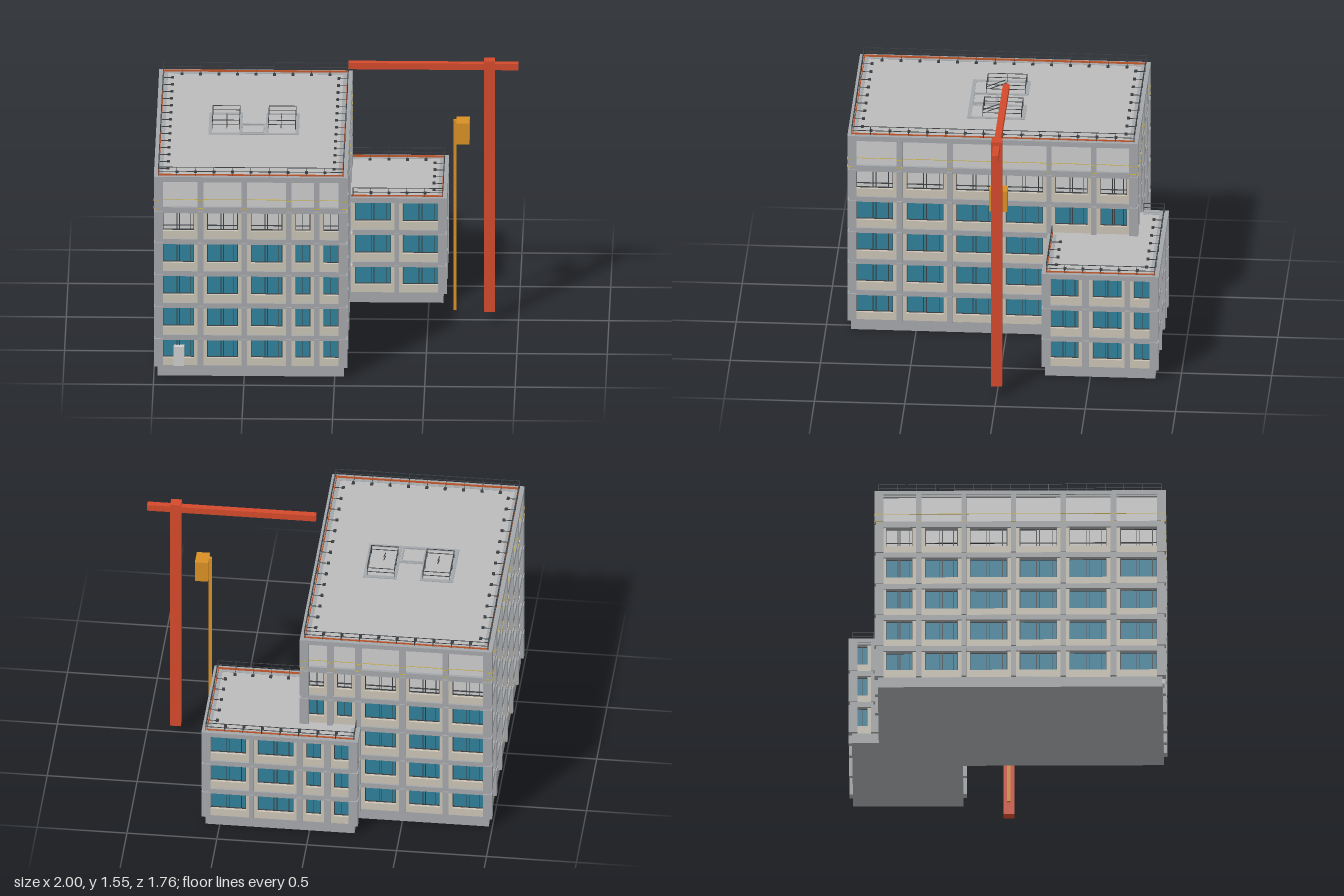
import * as THREE from 'three';
import { mergeGeometries } from 'three/addons/utils/BufferGeometryUtils.js';

const mat = (color) => new THREE.MeshStandardMaterial({ color });
const M = {
  panel: mat(0xcccccc), frame: mat(0xa3a6a9), roof: mat(0xbababa), sill: mat(0xc9c2b4),
  glass: mat(0x2f8099), dark: mat(0x3c4043), toe: mat(0xc4582c), yellow: mat(0xc9ad3a),
  crane: mat(0xd2492b), hoist: mat(0xd98f24),
};

// Each box is [x0, x1, y0, y1, z0, z1]; all boxes of one part become one mesh.
function boxes(name, material, list) {
  const geos = list.map(([x0, x1, y0, y1, z0, z1]) =>
    new THREE.BoxGeometry(x1 - x0, y1 - y0, z1 - z0)
      .translate((x0 + x1) / 2, (y0 + y1) / 2, (z0 + z1) / 2));
  const mesh = new THREE.Mesh(mergeGeometries(geos), material);
  mesh.name = name;
  return mesh;
}

// Openings per storey: [bottom, top]
const STOREYS = [[0.06, 0.215], [0.245, 0.405], [0.435, 0.595], [0.625, 0.785], [0.815, 0.97], [1.005, 1.155]];

// Facade in local space: u along x, outward along +z, outer face at z = 0.
// Bays are [u0, u1, lowest storey]; u0/u1 of the wall are its ends.
function facade(name, ends, bays, storeys) {
  const g = new THREE.Group();
  g.name = name;
  const columns = [], bands = [], sills = [], panels = [], glass = [], frames = [], rails = [];
  const low = Math.min(...bays.map((b) => b[2] || 0));
  for (let s = low; s < storeys; s++) {
    const [y0, y1] = STOREYS[s];
    const next = s + 1 < storeys ? STOREYS[s + 1][0] : y1 + 0.03;
    const open = bays.filter((b) => (b[2] || 0) <= s);
    const first = open[0] === bays[0] ? ends[0] : open[0][0] - 0.03;
    const last = open.at(-1) === bays.at(-1) ? ends[1] : open.at(-1)[1] + 0.03;
    bands.push([first + 0.01, last - 0.01, y1, next, -0.05, -0.008]);

    // columns fill everything between the openings
    const edges = [first, ...open.flatMap((b) => [b[0], b[1]]), last];
    for (let i = 0; i < edges.length; i += 2) {
      if (edges[i + 1] - edges[i] < 0.003) continue;
      columns.push([edges[i], edges[i + 1], y0, y1 + 0.01, -0.05, 0]);
      if (s === 5) for (const y of [1.0, 1.045])
        rails.push([edges[i], edges[i + 1], y, y + 0.004, 0, 0.002]);
    }
    for (const [a, b] of open) {
      if (s === 5) { // closed top storey
        panels.push([a, b, y0, y1, -0.05, -0.025]);
        rails.push([a, b, 1.05, 1.0525, -0.012, -0.0095]);
        continue;
      }
      const ya = y0 + 0.045, xa = a + 0.02, xb = b - 0.02;
      sills.push([a, b, y0, ya, -0.05, -0.02],
        [a, xa, ya, y1, -0.05, -0.02], [xb, b, ya, y1, -0.05, -0.02]);
      if (s < 4) glass.push([xa, xb, ya, y1, -0.05, -0.042]);
      else panels.push([xa, xb, ya, y1, -0.055, -0.045]);
      // window frame and mullions
      const t = 0.0035, bar = (x) => frames.push([x - t / 2, x + t / 2, ya, y1, -0.045, -0.036]);
      const w = xb - xa;
      (w > 0.12 ? [0.01, 0.45, 0.53, 0.87, 0.99] : [0.02, 0.5, 0.98]).forEach((f) => bar(xa + w * f));
      for (const y of [ya, y1 - t]) frames.push([xa, xb, y, y + t, -0.045, -0.036]);
      if (s === 4) frames.push([xa, xb, ya + 0.025, ya + 0.028, -0.045, -0.036]);
    }
  }
  const add = (n, m, l) => l.length && g.add(boxes(n, m, l));
  add('columns', M.frame, columns);
  add('floorBands', M.frame, bands);
  add('sillWalls', M.sill, sills);
  add('wallPanels', M.panel, panels);
  add('windowGlass', M.glass, glass);
  add('windowFrames', M.dark, frames);
  add('safetyBars', M.yellow, rails);
  return g;
}

// Places a facade on one side; bays and ends are given in world x or z.
function side(name, dir, at, ends, bays, storeys) {
  const flip = dir === 'right' || dir === 'back';
  const map = (b) => (flip ? [-b[1], -b[0], b[2]] : b);
  const list = bays.map(map).sort((p, q) => p[0] - q[0]);
  const g = facade(name, map(ends), list, storeys);
  g.rotation.y = { front: 0, right: Math.PI / 2, back: Math.PI, left: -Math.PI / 2 }[dir];
  g.position[dir === 'front' || dir === 'back' ? 'z' : 'x'] = at;
  return g;
}

// Straight roof guard rail with posts, feet pointing inwards and counterweights.
function guardRail(name, y, [x0, z0], [x1, z1], [ix, iz], feet = true) {
  const g = new THREE.Group();
  g.name = name;
  const t = 0.0015, bars = [], weights = [];
  const bar = (ax, ay, az, bx, by, bz) => bars.push([Math.min(ax, bx) - t, Math.max(ax, bx) + t,
    ay - t, by + t, Math.min(az, bz) - t, Math.max(az, bz) + t]);
  for (const h of [0.028, 0.053]) bar(x0, y + h, z0, x1, y + h, z1);
  const n = Math.max(1, Math.round(Math.hypot(x1 - x0, z1 - z0) / 0.103));
  for (let i = 0; i <= n; i++) {
    const x = x0 + (x1 - x0) * i / n, z = z0 + (z1 - z0) * i / n;
    bar(x, y, z, x, y + 0.053, z);
    if (!feet || i === 0 || i === n) continue;
    const wx = x + ix * 0.052, wz = z + iz * 0.052;
    bar(x, y + 0.003, z, wx, y + 0.003, wz);
    weights.push([wx - 0.008, wx + 0.008, y, y + 0.01, wz - 0.008, wz + 0.008]);
  }
  g.add(boxes('railBars', M.dark, bars));
  if (weights.length) g.add(boxes('counterweights', M.dark, weights));
  return g;
}

// Thin upright strips along a rectangle
const rim = (x0, x1, z0, z1, y0, y1, w) => [
  [x0, x1, y0, y1, z0, z0 + w], [x0, x1, y0, y1, z1 - w, z1],
  [x0, x0 + w, y0, y1, z0, z1], [x1 - w, x1, y0, y1, z0, z1]];

export function createModel() {
  const model = new THREE.Group();
  model.name = 'buildingUnderConstruction';

  // Plinths, cores and roofs
  model.add(
    boxes('plinth', M.frame, [[-0.98, 0.05, 0, 0.062, -0.712, 0.862], [-0.25, 0.58, 0, 0.06, -0.86, -0.25]]),
    boxes('core', M.panel, [[-0.95, 0.02, 0.06, 1.16, -0.68, 0.83], [-0.22, 0.55, 0.06, 0.6, -0.83, -0.28]]),
    boxes('roofSlabs', M.roof, [[-0.98, 0.05, 1.155, 1.183, -0.71, 0.86], [-0.25, 0.58, 0.595, 0.623, -0.86, -0.25]]),
    boxes('roofEdge', M.frame, [...rim(-1, 0.07, -0.73, 0.88, 1.165, 1.188, 0.025),
      [-0.27, 0.6, 0.605, 0.628, -0.88, -0.855], [0.575, 0.6, 0.605, 0.628, -0.88, -0.23],
      [0.06, 0.6, 0.605, 0.628, -0.255, -0.23], [-0.27, -0.245, 0.605, 0.628, -0.88, -0.73]]),
    boxes('toeBoards', M.toe, [...rim(-0.975, 0.045, -0.705, 0.855, 1.183, 1.196, 0.004),
      [-0.245, 0.575, 0.623, 0.636, -0.855, -0.851], [0.571, 0.575, 0.623, 0.636, -0.855, -0.255],
      [0.07, 0.575, 0.623, 0.636, -0.259, -0.255]]));

  // Facades on a shared bay grid
  const xBays = [[-0.97, -0.757], [-0.725, -0.516], [-0.484, -0.27], [-0.238, -0.115], [-0.083, 0.04]];
  const zBays = [[0.607, 0.853], [0.327, 0.573], [0.052, 0.299], [-0.223, 0.024], [-0.47, -0.25], [-0.687, -0.5]];
  const above = (bays, from) => bays.map((b, i) => (i >= from ? [...b, 3] : b));
  const annexX = [[0.335, 0.575], [0.07, 0.31]];
  model.add(
    side('frontFacade', 'front', 0.88, [-1, 0.07], xBays, 6),
    side('backFacade', 'back', -0.73, [-1, 0.07], above(xBays, 3), 6),
    side('leftHandFacade', 'right', 0.07, [-0.73, 0.88], above(zBays, 4), 6),
    side('rightHandFacade', 'left', -1, [-0.73, 0.88], zBays, 6),
    side('annexFrontFacade', 'front', -0.23, [0.068, 0.6], annexX, 3),
    side('annexBackFacade', 'back', -0.88, [-0.27, 0.6], [...annexX, ...xBays.slice(3)], 3),
    side('annexLeftFacade', 'right', 0.6, [-0.88, -0.23], [[-0.455, -0.256], [-0.692, -0.493], [-0.853, -0.72]], 3),
    side('annexRightFacade', 'left', -0.27, [-0.88, -0.73], [[-0.853, -0.755]], 3),
    boxes('door', M.panel, [[-0.89, -0.832, 0.06, 0.175, 0.83, 0.872]]));

  // Roof guard rails
  const Y = 1.185, A = 0.625;
  model.add(
    guardRail('frontRail', Y, [-0.975, 0.857], [0.047, 0.857], [0, -1]),
    guardRail('backRail', Y, [-0.975, -0.707], [0.047, -0.707], [0, 1]),
    guardRail('leftRail', Y, [0.047, -0.707], [0.047, 0.857], [-1, 0]),
    guardRail('rightRail', Y, [-0.975, -0.707], [-0.975, 0.857], [1, 0]),
    guardRail('annexFrontRail', A, [0.08, -0.255], [0.577, -0.255], [0, -1]),
    guardRail('annexBackRail', A, [-0.247, -0.857], [0.577, -0.857], [0, 1]),
    guardRail('annexLeftRail', A, [0.577, -0.857], [0.577, -0.255], [-1, 0]),
    guardRail('annexRightRail', A, [-0.247, -0.857], [-0.247, -0.74], [1, 0], false));

  // Roof stair openings: curbs, hatch and two mirrored railings
  const curbs = [[-0.71, -0.21, Y, Y + 0.004, 0.215, 0.235], [-0.535, -0.395, Y, Y + 0.005, 0.075, 0.09],
    ...rim(-0.53, -0.4, 0.085, 0.22, Y, Y + 0.008, 0.008)];
  for (const s of [-1, 1]) {
    const c = -0.46, at = (d) => c + s * d;
    const span = (p, q) => [Math.min(at(p), at(q)), Math.max(at(p), at(q))];
    curbs.push([...span(0.065, 0.25), Y, Y + 0.004, -0.085, -0.062],
      [...span(0.23, 0.25), Y, Y + 0.004, -0.085, 0.235], [...span(0.065, 0.08), Y, Y + 0.004, -0.07, 0.23]);
    const q = [[at(0.08), -0.065], [at(0.23), -0.065], [at(0.23), 0.15], [at(0.08), 0.15]];
    for (let i = 0; i < 4; i++)
      model.add(guardRail('stairRail', Y, q[i], q[(i + 1) % 4], [0, 0], false));
    // sloping stair handrail
    const slope = boxes('stairHandrail', M.dark, [[-0.002, 0.002, -0.002, 0.002, -0.055, 0.055],
      [-0.002, 0.002, -0.02, -0.016, -0.055, 0.055]]);
    slope.position.set(at(0.15), Y + 0.03, 0.1);
    slope.rotation.x = 0.4;
    model.add(slope);
  }
  model.add(boxes('stairCurbs', M.frame, curbs));

  // Tower crane and hoist
  model.add(
    boxes('craneMast', M.crane, [[0.81, 0.87, 0.06, 1.55, -0.03, 0.03]]),
    boxes('craneJib', M.crane, [[0.06, 1, 1.493, 1.53, -0.018, 0.018]]),
    boxes('hoistMast', M.hoist, [[0.64, 0.658, 0.06, 1.19, -0.01, 0.01]]),
    boxes('hoistCage', M.hoist, [[0.657, 0.73, 1.062, 1.188, -0.05, 0.05]]));
  return model;
}
